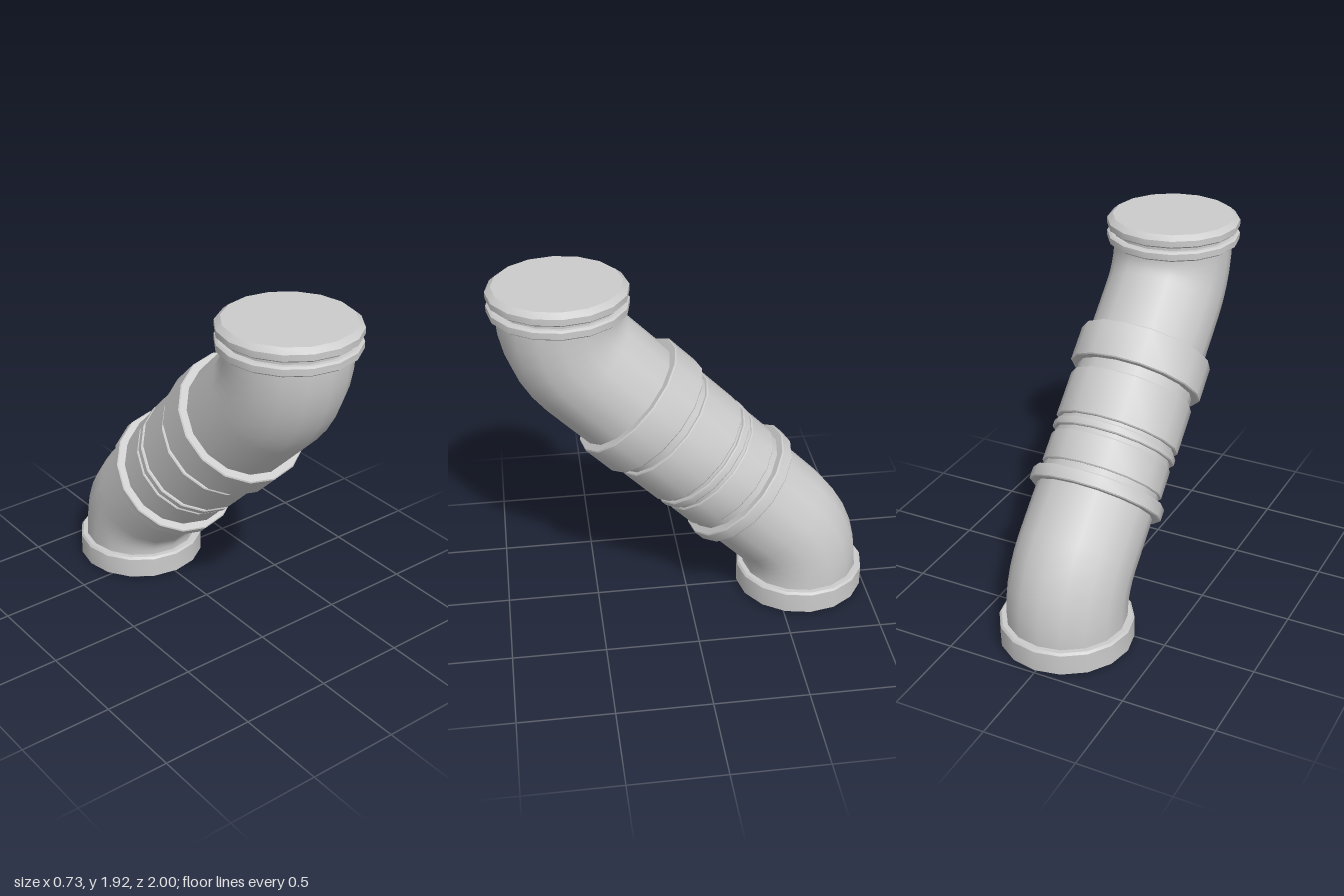
import * as THREE from 'three';
import { toCreasedNormals } from 'three/addons/utils/BufferGeometryUtils.js';

const SIDES = 16;
const HEIGHT = 1.925;
const OFFSET = 0.642; // z distance of each vertical end from the centre
const PIPE_R = 0.319;

const material = new THREE.MeshStandardMaterial({ color: 0xcccccc });

// Closed turned part from [radius, height] pairs, listed bottom to top
function turned(name, profile) {
  const points = profile.map(([r, y]) => new THREE.Vector2(r, y));
  const geometry = toCreasedNormals(new THREE.LatheGeometry(points, SIDES), 0.5);
  const mesh = new THREE.Mesh(geometry, material);
  mesh.name = name;
  return mesh;
}

// Plain band with slightly chamfered edges
function band(name, y0, y1, r, c = 0.006) {
  return turned(name, [[0, y0], [r - c, y0], [r, y0 + c], [r, y1 - c], [r - c, y1], [0, y1]]);
}

// Pipe: vertical end, bend, 45 degree run, bend, vertical end
function createPipe() {
  const at = (z, y) => new THREE.Vector3(0, y, z);
  const mid = HEIGHT / 2;
  const cornerY = mid - OFFSET;
  const tangent = 0.185;
  const d = tangent * Math.SQRT1_2;
  const lower = [at(-OFFSET, 0.01), at(-OFFSET, cornerY - tangent), at(-OFFSET, cornerY), at(-OFFSET + d, cornerY + d)];
  const upper = lower.map((p) => at(-p.z, HEIGHT - p.y));

  const path = new THREE.CurvePath();
  path.add(new THREE.LineCurve3(lower[0], lower[1]));
  path.add(new THREE.QuadraticBezierCurve3(lower[1], lower[2], lower[3]));
  path.add(new THREE.LineCurve3(lower[3], upper[3]));
  path.add(new THREE.QuadraticBezierCurve3(upper[3], upper[2], upper[1]));
  path.add(new THREE.LineCurve3(upper[1], upper[0]));

  const mesh = new THREE.Mesh(new THREE.TubeGeometry(path, 36, PIPE_R, SIDES, false), material);
  mesh.name = 'bentPipe';
  return mesh;
}

export function createModel() {
  const group = new THREE.Group();
  group.name = 'pipeConnector';
  group.add(createPipe());

  // Lower end collar
  const collar = turned('lowerCollar', [
    [0, 0], [0.335, 0], [0.356, 0.015], [0.356, 0.128], [0.345, 0.14], [0, 0.14],
  ]);
  collar.position.z = -OFFSET;
  group.add(collar);

  // Upper end cap: two flanges with a groove between
  const cap = turned('upperCap', [
    [0, 1.785], [0.345, 1.785], [0.358, 1.795], [0.358, 1.828], [0.345, 1.837],
    [0.325, 1.837], [0.325, 1.858], [0.345, 1.858], [0.358, 1.868], [0.358, 1.9],
    [0.328, HEIGHT], [0, HEIGHT],
  ]);
  cap.position.z = OFFSET;
  group.add(cap);

  // Bands around the slanted run, measured along its axis from the middle
  const bands = new THREE.Group();
  bands.name = 'slantedBands';
  bands.position.y = HEIGHT / 2;
  bands.rotation.x = Math.PI / 4;
  bands.add(
    band('wideRing', 0.24, 0.44, 0.363),
    band('upperSleeve', -0.075, 0.182, 0.338),
    band('thinRing', -0.14, -0.095, 0.338),
    band('lowerSleeve', -0.33, -0.165, 0.33),
    band('flangeRing', -0.443, -0.37, 0.363),
  );
  group.add(bands);
  return group;
}
